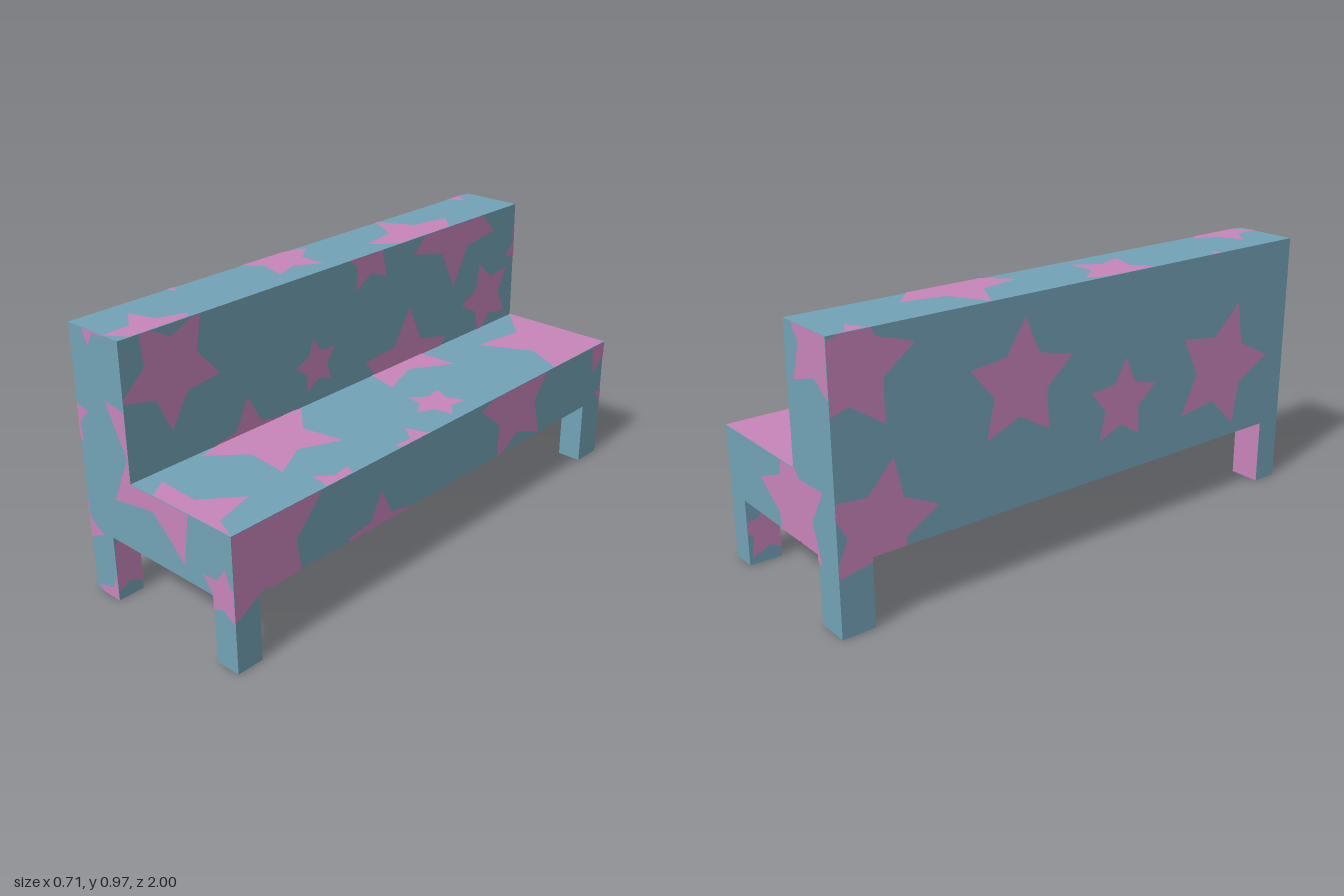
import * as THREE from 'three';

const X0 = -0.355, XB = -0.11, X1 = 0.355, Y0 = 0.245, YS = 0.49, Y1 = 0.97;
const LB = -0.235, LF = 0.26, ZF = 0.9, ZB = -0.88; // inner faces of the legs

// Points of a five-pointed star, rot = direction of one tip in degrees
function starPoints([cx, cy, r, rot]) {
  return Array.from({ length: 10 }, (_, i) => {
    const a = THREE.MathUtils.degToRad(rot + i * 36), q = i % 2 ? r * 0.52 : r;
    return [cx + q * Math.cos(a), cy + q * Math.sin(a)];
  });
}

// Clip a convex polygon to a rectangle [u0, u1, v0, v1]
function clip(poly, rect) {
  rect.forEach((lim, k) => {
    const ax = k >> 1, s = k % 2 ? -1 : 1, out = [];
    poly.forEach((p, i) => {
      const q = poly[(i + 1) % poly.length];
      const dp = s * (p[ax] - lim), dq = s * (q[ax] - lim);
      if (dp >= 0) out.push(p);
      if (dp * dq < 0) {
        const t = dp / (dp - dq);
        out.push([p[0] + t * (q[0] - p[0]), p[1] + t * (q[1] - p[1])]);
      }
    });
    poly = out;
  });
  return poly;
}

// Flat stars lying just above a face; u and v span the face, d is its distance along u x v
function starPanel(name, u, v, d, rects, stars, material) {
  const U = new THREE.Vector3(...u), V = new THREE.Vector3(...v);
  const N = U.clone().cross(V), pos = [];
  const put = (p) => pos.push(...N.clone().multiplyScalar(d + 0.002)
    .addScaledVector(U, p[0]).addScaledVector(V, p[1]).toArray());
  for (const star of stars) {
    const pts = starPoints(star);
    for (const rect of rects) {
      pts.forEach((p, i) => {
        const poly = clip([[star[0], star[1]], p, pts[(i + 1) % 10]], rect);
        for (let k = 1; k < poly.length - 1; k++) [poly[0], poly[k], poly[k + 1]].forEach(put);
      });
    }
  }
  const geo = new THREE.BufferGeometry();
  geo.setAttribute('position', new THREE.Float32BufferAttribute(pos, 3));
  geo.computeVertexNormals();
  const mesh = new THREE.Mesh(geo, material);
  mesh.name = name;
  return mesh;
}

export function createModel() {
  const group = new THREE.Group();
  group.name = 'bench';
  const blue = new THREE.MeshStandardMaterial({ color: 0x73a3b7 });
  blue.name = 'dusty blue';
  const pink = new THREE.MeshStandardMaterial({ color: 0xc985bb });
  pink.name = 'star pink';

  // L-shaped seat and backrest, extruded along the bench
  const outline = new THREE.Shape([[X0, Y0], [X1, Y0], [X1, YS], [XB, YS], [XB, Y1], [X0, Y1]]
    .map((p) => new THREE.Vector2(...p)));
  const body = new THREE.Mesh(
    new THREE.ExtrudeGeometry(outline, { depth: 2, bevelEnabled: false }).translate(0, 0, -1), blue);
  body.name = 'seatAndBackrest';
  group.add(body);

  // Four square legs
  for (const [xa, xb, side] of [[X0, LB, 'back'], [LF, X1, 'front']]) {
    for (const [za, zb, end] of [[ZF, 1, 'Left'], [-1, ZB, 'Right']]) {
      const leg = new THREE.Mesh(new THREE.BoxGeometry(xb - xa, Y0, zb - za), blue);
      leg.position.set((xa + xb) / 2, Y0 / 2, (za + zb) / 2);
      leg.name = side + 'Leg' + end;
      group.add(leg);
    }
  }

  // Star pattern, face by face: each star is [u, v, radius, rotation]
  const px = [1, 0, 0], nx = [-1, 0, 0], py = [0, 1, 0], pz = [0, 0, 1], nz = [0, 0, -1];
  const add = (...args) => group.add(starPanel(...args, pink));

  add('frontEndStars', px, py, 1,
    [[X0, XB, YS, Y1], [X0, X1, Y0, YS], [X0, LB, 0, Y0], [LF, X1, 0, Y0]],
    [[0.04, 0.58, 0.295, 145], [0.31, 0.265, 0.1, 84], [-0.4, 0.245, 0.12, -5],
      [-0.22, -0.01, 0.125, 165], [-0.4, 0.65, 0.11, 18], [-0.255, 1.0, 0.085, -95]]);

  add('rearEndStars', nx, py, 1,
    [[-XB, -X0, YS, Y1], [-X1, -X0, Y0, YS], [-LB, -X0, 0, Y0], [-X1, -LF, 0, Y0]],
    [[0.1, 0.36, 0.22, 30], [0.3, 0.93, 0.2, 224]]);

  add('backrestFrontStars', nz, py, XB, [[-1, 1, YS, Y1]],
    [[-0.81, 0.82, 0.21, -93], [-0.17, 0.63, 0.105, 98], [-0.5, 0.43, 0.19, 90],
      [0.32, 0.46, 0.25, 86], [0.82, 0.62, 0.16, 36], [0.61, 0.98, 0.26, -92],
      [0.11, 0.97, 0.14, -48], [1.04, 0.79, 0.1, 195]]);

  add('seatFrontStars', nz, py, X1,
    [[-1, 1, Y0, YS], [-1, -ZF, 0, Y0], [-ZB, 1, 0, Y0]],
    [[-0.88, 0.4, 0.28, 20], [-0.35, 0.2, 0.17, 88], [0.41, 0.42, 0.225, -48],
      [0.99, 0.53, 0.17, 250], [1.05, 0.25, 0.1, 234]]);

  add('backrestRearStars', pz, py, -X0,
    [[-1, 1, Y0, Y1], [-1, ZB, 0, Y0], [ZF, 1, 0, Y0]],
    [[-0.92, 0.86, 0.22, 10], [-0.3, 0.68, 0.22, 158], [0.15, 0.51, 0.16, 85],
      [0.65, 0.53, 0.25, 72], [-0.85, 0.34, 0.22, 75]]);

  add('backrestTopStars', px, nz, Y1, [[X0, XB, -1, 1]],
    [[-0.39, 0.9, 0.1, 0], [-0.12, 0.42, 0.24, 180], [-0.3, -0.15, 0.16, 28],
      [-0.4, -0.6, 0.08, 0], [-0.11, -0.86, 0.16, 172]]);

  add('seatTopStars', px, nz, YS, [[XB, X1, -1, 1]],
    [[0.2, 0.9, 0.33, 234], [-0.19, 0.28, 0.28, 30], [0.22, 0.1, 0.11, -90],
      [-0.02, -0.49, 0.25, 38], [0.39, -0.15, 0.12, 170], [0.38, -0.55, 0.11, 200],
      [0.17, -1.05, 0.25, 78]]);

  add('undersideStars', px, pz, -Y0,
    [[X0, X1, ZB, ZF], [LB, LF, -1, ZB], [LB, LF, ZF, 1]],
    [[-0.217, 0.18, 0.2, 40], [-0.14, 0.56, 0.14, 10], [0.025, -0.11, 0.12, 60],
      [0, -0.85, 0.26, 50], [0.05, 0.92, 0.22, 250], [0.3, 0.43, 0.18, 190], [0.24, 0.02, 0.1, 20]]);

  // Stars wrapping onto the inner sides and foot of the legs
  add('backLegInnerStar', nx, py, -ZF, [[-LB, -X0, 0, Y0]], [[0.3, 0.12, 0.24, 90]]);
  add('backLegFrontStar', nz, py, LB, [[-1, -ZF, 0, Y0]], [[-0.95, 0.14, 0.16, 90]]);
  add('backLegFootStar', px, pz, 0, [[X0, LB, ZF, 1]], [[-0.24, 1, 0.11, 180]]);
  add('frontLegRearStar', pz, py, -LF, [[-1, ZB, 0, Y0]], [[-0.92, 0.12, 0.12, 90]]);

  return group;
}
